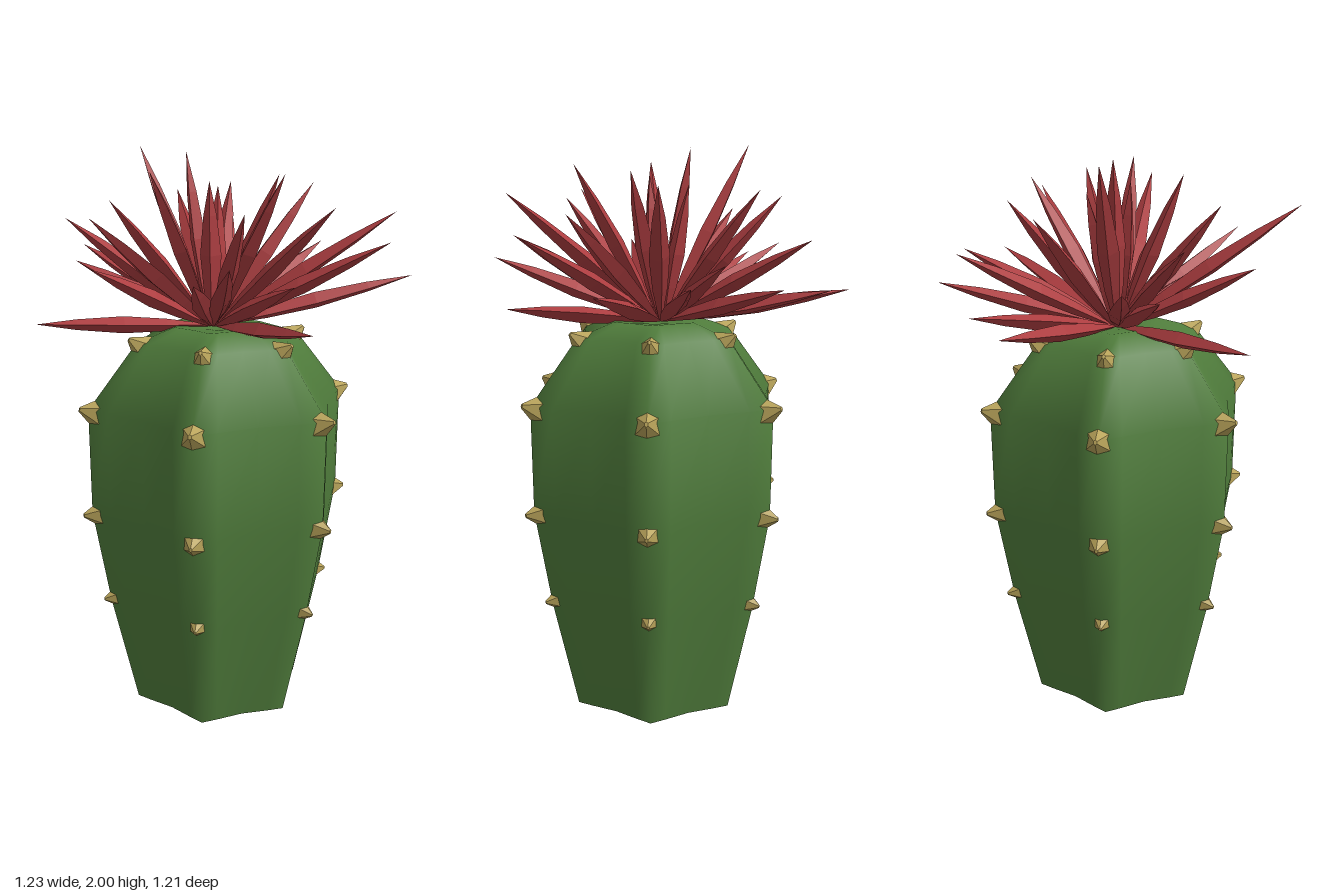
import * as THREE from 'three';

const mat = (name, color, side = THREE.FrontSide) => {
  const m = new THREE.MeshStandardMaterial({ color, side });
  m.name = name;
  return m;
};

// Flat facets without sharing vertices
function faceted(geo) {
  const g = geo.toNonIndexed();
  g.computeVertexNormals();
  return g;
}

// Ribbed body, open underneath: each sixth has a ridge, two shoulders and a valley
function bodyGeometry() {
  const rings = [ // ridge radius, height
    [0.315, 0], [0.41, 0.4], [0.473, 0.75], [0.478, 1.13],
    [0.3, 1.355], [0.16, 1.4], [0.06, 1.39], [0, 1.38],
  ];
  const sector = [[0, 1], [10, 0.91], [30, 0.825], [50, 0.91]]; // degrees, radius ratio
  const n = 24, pos = [], idx = [];
  rings.forEach(([r, y], i) => {
    for (let k = 0; k < n; k++) {
      const [deg, ratio] = sector[k % 4];
      const a = THREE.MathUtils.degToRad(Math.floor(k / 4) * 60 + deg);
      pos.push(Math.sin(a) * r * ratio, y, Math.cos(a) * r * ratio);
      if (i < rings.length - 1) {
        const b = i * n + k, c = i * n + ((k + 1) % n);
        idx.push(b, c, c + n, b, c + n, b + n);
      }
    }
  });
  const g = new THREE.BufferGeometry();
  g.setAttribute('position', new THREE.Float32BufferAttribute(pos, 3));
  g.setIndex(idx);
  g.computeVertexNormals();
  return g;
}

export function createModel() {
  const model = new THREE.Group();
  model.name = 'cactus';
  const green = mat('cactus green', 0x507d3c, THREE.DoubleSide);
  const tan = mat('thorn tan', 0xb8a35a);
  const red = mat('petal red', 0xac3d40, THREE.DoubleSide);
  const up = new THREE.Vector3(0, 1, 0);

  const plant = new THREE.Group();
  plant.name = 'plant';
  plant.position.set(0.005, 0, 0.022);
  model.add(plant);
  const body = new THREE.Mesh(bodyGeometry(), green);
  body.name = 'body';
  plant.add(body);

  // Thorns: four broad blunt cones up each of the six ridges, sunk into the body
  const thornGeo = faceted(new THREE.CylinderGeometry(0.15, 1, 1.5, 6).translate(0, 0.05, 0));
  const thornRows = [ // ridge radius, height, size, upward tilt
    [0.412, 0.415, 0.032, -0.1], [0.472, 0.745, 0.041, 0],
    [0.474, 1.125, 0.046, 0.3], [0.3, 1.35, 0.042, 0.65],
  ];
  for (let k = 0; k < 6; k++) {
    const a = (k * Math.PI) / 3;
    for (const [r, y, s, tilt] of thornRows) {
      const thorn = new THREE.Mesh(thornGeo, tan);
      thorn.name = 'thorn';
      thorn.position.set(Math.sin(a) * r, y, Math.cos(a) * r);
      thorn.rotation.set(Math.PI / 2 - tilt, a, 0, 'YXZ');
      thorn.scale.set(s, s, s * 1.25);
      plant.add(thorn);
    }
  }

  // Flower: slim four-sided petals fanning out from the crown
  const profile = [[0.005, 0], [0.027, 0.25], [0.037, 0.5], [0.023, 0.77], [0, 1]]
    .map(([x, y]) => new THREE.Vector2(x, y));
  const petalGeo = faceted(new THREE.LatheGeometry(profile, 4));
  const tips = [
    [0.285, 1.5, -0.61], [-0.09, 1.64, -0.55], [-0.27, 1.76, -0.45], [-0.2, 1.6, -0.48],
    [-0.48, 1.42, -0.39], [0.42, 1.52, -0.44], [0.49, 1.7, -0.31], [0.61, 1.56, -0.13],
    [0.565, 1.64, 0.06], [0.47, 1.56, 0.13], [0.52, 1.56, 0.49], [0.37, 1.8, 0.51],
    [0.2, 1.72, 0.6], [-0.05, 1.85, 0.55], [-0.125, 1.45, 0.53], [-0.23, 1.62, 0.53],
    [-0.39, 1.68, 0.4], [-0.62, 1.83, 0.03], [-0.48, 1.64, -0.12], [-0.36, 1.85, -0.14],
    [-0.33, 1.6, 0.2], [-0.01, 1.94, 0.32], [0.01, 2, -0.35], [0, 1.99, -0.12],
    [0.22, 1.83, -0.36], [-0.23, 1.94, -0.08], [0.34, 1.88, 0.18], [0.14, 1.92, 0.18],
    [-0.04, 1.9, 0.02], [0.1, 1.87, -0.06], [0.34, 1.86, -0.2], [-0.17, 1.82, 0.28],
  ];
  const flower = new THREE.Group();
  flower.name = 'flower';
  model.add(flower);
  tips.forEach(([x, y, z], i) => {
    const a = Math.atan2(x, z);
    const base = new THREE.Vector3(0.005 + Math.sin(a) * 0.015, 1.395, Math.cos(a) * 0.015);
    const dir = new THREE.Vector3(x, y, z).sub(base);
    const petal = new THREE.Mesh(petalGeo, red);
    petal.name = 'petal';
    petal.position.copy(base);
    petal.scale.set(1, dir.length(), 0.8);
    petal.quaternion.setFromUnitVectors(up, dir.normalize());
    petal.rotateY(a + (i % 3) * 0.15);
    flower.add(petal);
  });
  return model;
}
